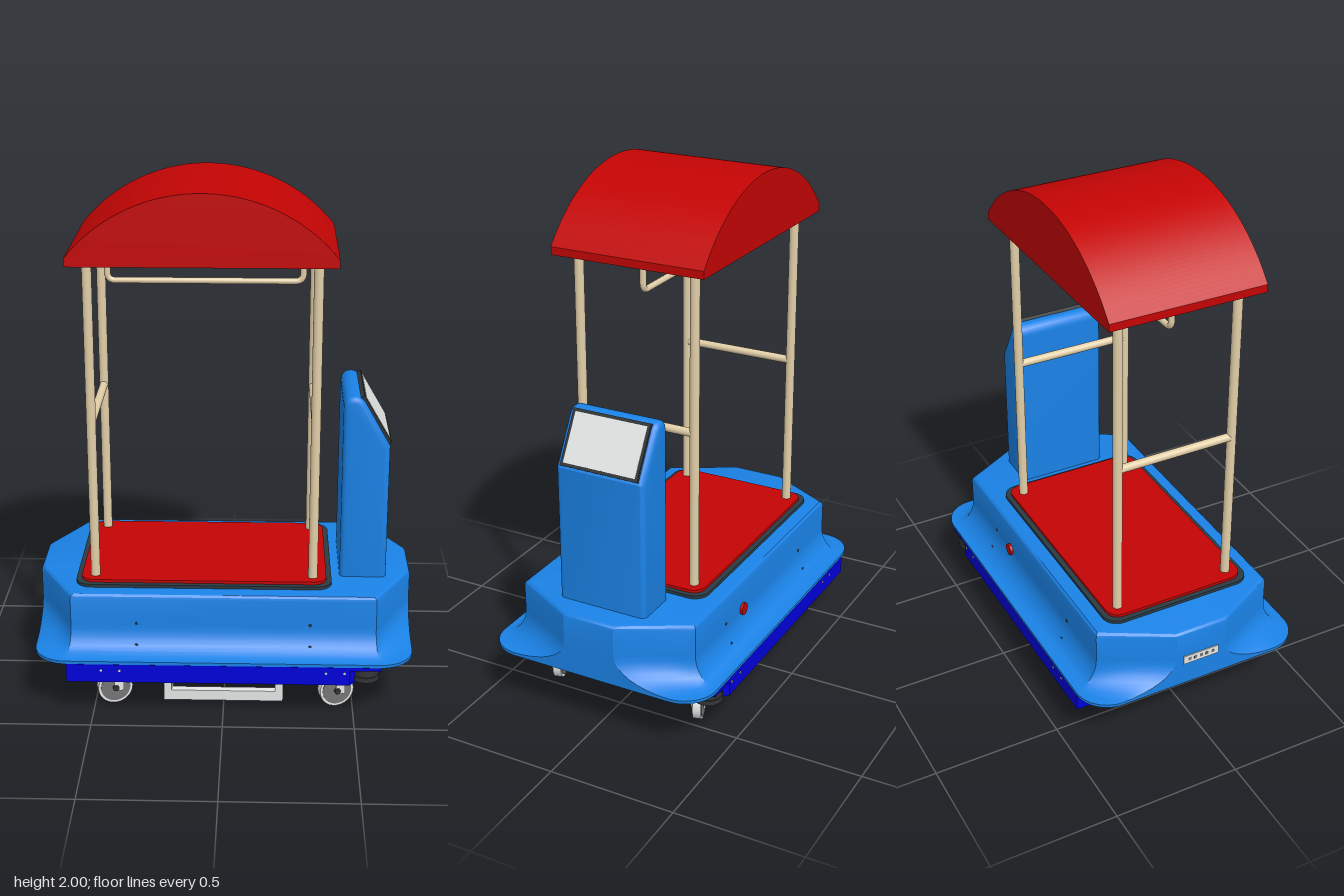
import * as THREE from 'three';
import { toCreasedNormals } from 'three/addons/utils/BufferGeometryUtils.js';

const mat = (name, color) => {
  const m = new THREE.MeshStandardMaterial({ color });
  m.name = name;
  return m;
};

export function createModel() {
  const blue = mat('body blue', 0x1a82e6);
  const navy = mat('tray navy', 0x0000dc);
  const red = mat('red', 0xc40404);
  const tan = mat('tan tube', 0xe2cfa8);
  const light = mat('light grey', 0xe6e8e8);
  const mid = mat('mid grey', 0x747474);
  const dark = mat('dark grey', 0x333536);
  const slate = mat('trim slate', 0x2a3c44);
  const pink = mat('motor pink', 0xd8a0e0);
  const orange = mat('orange', 0xf0a422);

  const model = new THREE.Group();
  model.name = 'mobileCart';
  const add = (name, geo, material, x = 0, y = 0, z = 0, parent = model) => {
    const mesh = new THREE.Mesh(geo, material);
    mesh.name = name;
    mesh.position.set(x, y, z);
    parent.add(mesh);
    return mesh;
  };
  const box = (w, h, d) => new THREE.BoxGeometry(w, h, d);
  const cyl = (r, h, axis = 'y', sides = 24) => {
    const g = new THREE.CylinderGeometry(r, r, h, sides);
    if (axis === 'z') g.rotateX(Math.PI / 2);
    if (axis === 'x') g.rotateZ(Math.PI / 2);
    return g;
  };
  const roundedRect = (w, d, r) => {
    const s = new THREE.Shape();
    const a = w / 2 - r, b = d / 2 - r;
    s.absarc(a, b, r, 0, Math.PI / 2);
    s.absarc(-a, b, r, Math.PI / 2, Math.PI);
    s.absarc(-a, -b, r, Math.PI, Math.PI * 1.5);
    s.absarc(a, -b, r, Math.PI * 1.5, Math.PI * 2);
    return s;
  };
  const points = (list) => list.map(([x, z]) => new THREE.Vector2(x, z));
  // Horizontal slab lying on its local y = 0
  const slab = (shape, h) =>
    new THREE.ExtrudeGeometry(shape, { depth: h, bevelEnabled: false, curveSegments: 8 }).rotateX(-Math.PI / 2);

  // Body: octagonal upper part flaring into a rounded rectangular skirt
  const K = 10;
  const ring = (y, flare, inset = 0) => {
    const pts = [];
    for (let q = 0; q < 4; q++) {
      const sx = q === 0 || q === 3 ? 1 : -1, sz = q < 2 ? 1 : -1;
      for (let i = 0; i <= K; i++) {
        const t = (q % 2 ? K - i : i) / K, a = t * Math.PI / 2;
        const ox = 0.723 - 0.143 * t - inset, oz = 0.105 + 0.262 * t - inset * t;
        const rx = 0.593 + 0.13 * Math.cos(a), rz = 0.33 + 0.13 * Math.sin(a);
        pts.push([sx * (ox + (rx - ox) * flare), y, sz * (oz + (rz - oz) * flare)]);
      }
    }
    return pts;
  };
  const rings = [ring(0.238, 1)];
  for (let i = 0; i <= 8; i++) {
    const a = (i / 8) * Math.PI / 2;
    rings.push(ring(0.25 + 0.11 * (1 - Math.cos(a)), 1 - Math.sin(a)));
  }
  for (let i = 0; i <= 3; i++) {
    const a = (i / 3) * Math.PI / 2;
    rings.push(ring(0.465 + 0.02 * Math.sin(a), 0, 0.02 * (1 - Math.cos(a))));
  }
  const pos = [], n = rings[0].length;
  const tri = (...p) => p.forEach((v) => pos.push(...v));
  for (let j = 0; j < n; j++) {
    const k = (j + 1) % n;
    for (let r = 0; r < rings.length - 1; r++) {
      const [lo, hi] = [rings[r], rings[r + 1]];
      tri(lo[j], hi[j], lo[k]);
      tri(hi[j], hi[k], lo[k]);
    }
    const top = rings[rings.length - 1];
    tri([0, 0.485, 0], top[k], top[j]);
    tri([0, 0.238, 0], rings[0][j], rings[0][k]);
  }
  const bodyGeo = new THREE.BufferGeometry();
  bodyGeo.setAttribute('position', new THREE.Float32BufferAttribute(pos, 3));
  add('body', toCreasedNormals(bodyGeo, 0.42), blue);

  // Deck
  add('deckTrim', slab(roundedRect(0.98, 0.61, 0.06), 0.012), slate, -0.078, 0.485, 0);
  add('deckMat', slab(roundedRect(0.94, 0.57, 0.05), 0.011), red, -0.078, 0.497, 0);

  // Body fittings: screws, stop button, rear port
  for (const s of [1, -1]) for (const x of [-0.33, 0.33]) {
    add('screw', cyl(0.006, 0.01, 'z', 10), dark, x, 0.365, s * 0.364);
    add('screw', cyl(0.006, 0.01, 'z', 10), dark, x, 0.285, s * 0.387);
  }
  add('stopButton', cyl(0.024, 0.018, 'z'), red, 0.19, 0.36, -0.369);
  add('rearPort', box(0.01, 0.036, 0.15), light, -0.722, 0.352, 0);
  for (let i = 0; i < 5; i++) {
    add('rearPortContact', box(0.003, 0.012, 0.012), mid, -0.7265, 0.352, -0.05 + i * 0.025);
  }

  // Console with sloped display
  const b = 0.022;
  const c = new THREE.Shape();
  c.moveTo(0.445 + b, 0.48);
  c.lineTo(0.624 - b, 0.48);
  c.lineTo(0.624 - b, 1.012);
  c.lineTo(0.507, 1.18);
  c.quadraticCurveTo(0.496, 1.194, 0.485, 1.194);
  c.quadraticCurveTo(0.445 + b, 1.194, 0.445 + b, 1.172);
  const consoleGeo = new THREE.ExtrudeGeometry(c, {
    depth: 0.364 - 2 * b, bevelSize: b, bevelThickness: b, bevelSegments: 4, curveSegments: 6,
  }).translate(0, 0, -0.182 + b);
  add('console', toCreasedNormals(consoleGeo, 0.5), blue);
  const display = new THREE.Group();
  display.name = 'display';
  display.position.set(0.567, 1.119, 0);
  display.rotation.z = Math.atan2(0.11, 0.19);
  model.add(display);
  add('displayFrame', box(0.02, 0.214, 0.318), dark, 0, 0, 0, display);
  add('displayPanel', box(0.004, 0.19, 0.296), light, 0.0095, 0, 0, display);

  // Posts and cross bars
  for (const x of [-0.495, 0.34]) {
    for (const z of [-0.235, 0.235]) add('post', cyl(0.018, 1.24), tan, x, 1.12, z);
    add('crossBar', cyl(0.016, 0.46, 'z'), tan, x, 1.125, 0);
  }

  // Arched roof
  const roof = new THREE.Shape();
  roof.moveTo(-0.568, 1.735);
  roof.lineTo(0.412, 1.735);
  roof.absarc(-0.078, 1.372, 0.628, 0.676, Math.PI - 0.676);
  roof.closePath();
  const roofGeo = new THREE.ExtrudeGeometry(roof, { depth: 0.612, bevelEnabled: false, curveSegments: 36 });
  add('roof', toCreasedNormals(roofGeo.translate(0, 0, -0.306), 0.4), red);

  // Hanging grab handle
  const V = (x, y) => new THREE.Vector3(x, y, 0);
  const path = new THREE.CurvePath();
  path.add(new THREE.LineCurve3(V(-0.445, 1.74), V(-0.445, 1.642)));
  path.add(new THREE.QuadraticBezierCurve3(V(-0.445, 1.642), V(-0.445, 1.612), V(-0.415, 1.612)));
  path.add(new THREE.LineCurve3(V(-0.415, 1.612), V(0.26, 1.612)));
  path.add(new THREE.QuadraticBezierCurve3(V(0.26, 1.612), V(0.29, 1.612), V(0.29, 1.642)));
  path.add(new THREE.LineCurve3(V(0.29, 1.642), V(0.29, 1.74)));
  add('grabHandle', new THREE.TubeGeometry(path, 120, 0.012, 12), tan);

  // Lower tray: full top plate over a rim that is cut back for the corner scanners
  const opening = () => new THREE.Path(points([
    [0.5, 0.15], [0.3, 0.38], [-0.3, 0.38], [-0.5, 0.15], [-0.5, -0.15], [-0.3, -0.38], [0.3, -0.38], [0.5, -0.15]]));
  const plate = new THREE.Shape(points([[0.597, 0.457], [-0.593, 0.457], [-0.593, -0.457], [0.597, -0.457]]));
  plate.holes.push(opening());
  add('trayPlate', slab(plate, 0.014), navy, 0, 0.222, 0);
  const rim = new THREE.Shape(points([
    [0.597, 0.32], [0.48, 0.457], [-0.593, 0.457], [-0.593, -0.457], [0.48, -0.457], [0.597, -0.32]]));
  rim.holes.push(opening());
  add('trayRim', slab(rim, 0.06), navy, 0, 0.162, 0);
  for (const s of [1, -1]) {
    add('scannerBase', cyl(0.055, 0.02), dark, 0.54, 0.18, s * 0.4);
    add('scannerHead', cyl(0.05, 0.032), dark, 0.54, 0.206, s * 0.4);
    for (const x of [-0.46, -0.39, 0.39, 0.46]) {
      add('trayBolt', cyl(0.005, 0.006, 'z', 10), light, x, 0.212, s * 0.457);
    }
    for (const z of [-0.29, 0.29]) add('trayBolt', cyl(0.006, 0.006, 'x', 10), light, s * 0.596, 0.19, z);
  }

  // Chassis: low rectangular frame hung from upper beams
  for (const s of [1, -1]) {
    add('lowerRail', box(0.46, 0.042, 0.03), light, 0, 0.056, s * 0.345);
    add('lowerCrossRail', box(0.03, 0.042, 0.69), light, s * 0.215, 0.056, 0);
    add('upperBeam', box(0.96, 0.035, 0.03), light, 0, 0.205, s * 0.2);
    add('upperCrossBeam', box(0.03, 0.035, 0.74), light, s * 0.215, 0.185, 0);
    for (const x of [-0.215, 0.215]) add('hanger', box(0.03, 0.13, 0.03), light, x, 0.12, s * 0.345);
  }
  add('floorPlate', box(0.44, 0.012, 0.72), mid, 0, 0.23, 0);
  add('batteryBox', box(0.2, 0.05, 0.3), mid, -0.34, 0.21, 0);

  // Perforated angle bracket
  add('bracketWall', box(0.008, 0.068, 0.36), orange, 0.27, 0.199, 0.12);
  add('bracketFlange', box(0.08, 0.008, 0.36), orange, 0.31, 0.17, 0.12);
  for (let i = 0; i < 6; i++) {
    add('flangeHole', cyl(0.008, 0.002, 'y', 10), dark, 0.31, 0.1655, -0.02 + i * 0.056);
  }

  // Drive wheels with motors on a shared axle
  add('axle', cyl(0.028, 0.28, 'z'), dark, 0, 0.105, 0);
  for (const s of [1, -1]) {
    add('driveWheel', cyl(0.096, 0.045, 'z', 32), dark, 0, 0.104, s * 0.14);
    add('driveRim', cyl(0.066, 0.048, 'z'), tan, 0, 0.104, s * 0.14);
    add('driveRimGroove', cyl(0.056, 0.05, 'z'), dark, 0, 0.104, s * 0.14);
    add('driveHub', cyl(0.042, 0.053, 'z'), tan, 0, 0.104, s * 0.14);
    add('hubCap', cyl(0.015, 0.056, 'z'), dark, 0, 0.104, s * 0.14);
    add('gearbox', cyl(0.038, 0.05, 'z'), pink, 0, 0.11, s * 0.085);
    add('motor', cyl(0.034, 0.13, 'x'), pink, 0.065, 0.11, s * 0.09);
    add('motorBracket', box(0.14, 0.02, 0.08), mid, 0.02, 0.205, s * 0.12);
  }

  // Swivel casters, turned slightly
  for (const x of [-0.425, 0.435]) for (const z of [-0.31, 0.31]) {
    const caster = new THREE.Group();
    caster.name = 'caster';
    caster.position.set(x, 0, z);
    caster.rotation.y = 0.3;
    model.add(caster);
    add('casterTyre', cyl(0.068, 0.032, 'z', 28), light, 0, 0.068, 0, caster);
    add('casterDisc', cyl(0.058, 0.036, 'z', 28), mid, 0, 0.068, 0, caster);
    add('casterBolt', cyl(0.012, 0.062, 'z', 12), dark, 0, 0.068, 0, caster);
    for (const s of [1, -1]) add('forkArm', box(0.036, 0.09, 0.006), light, 0.012, 0.1, s * 0.024, caster);
    add('forkTop', box(0.06, 0.012, 0.056), light, 0.015, 0.145, 0, caster);
    add('swivel', cyl(0.026, 0.02), light, 0.015, 0.157, 0, caster);
  }
  return model;
}
